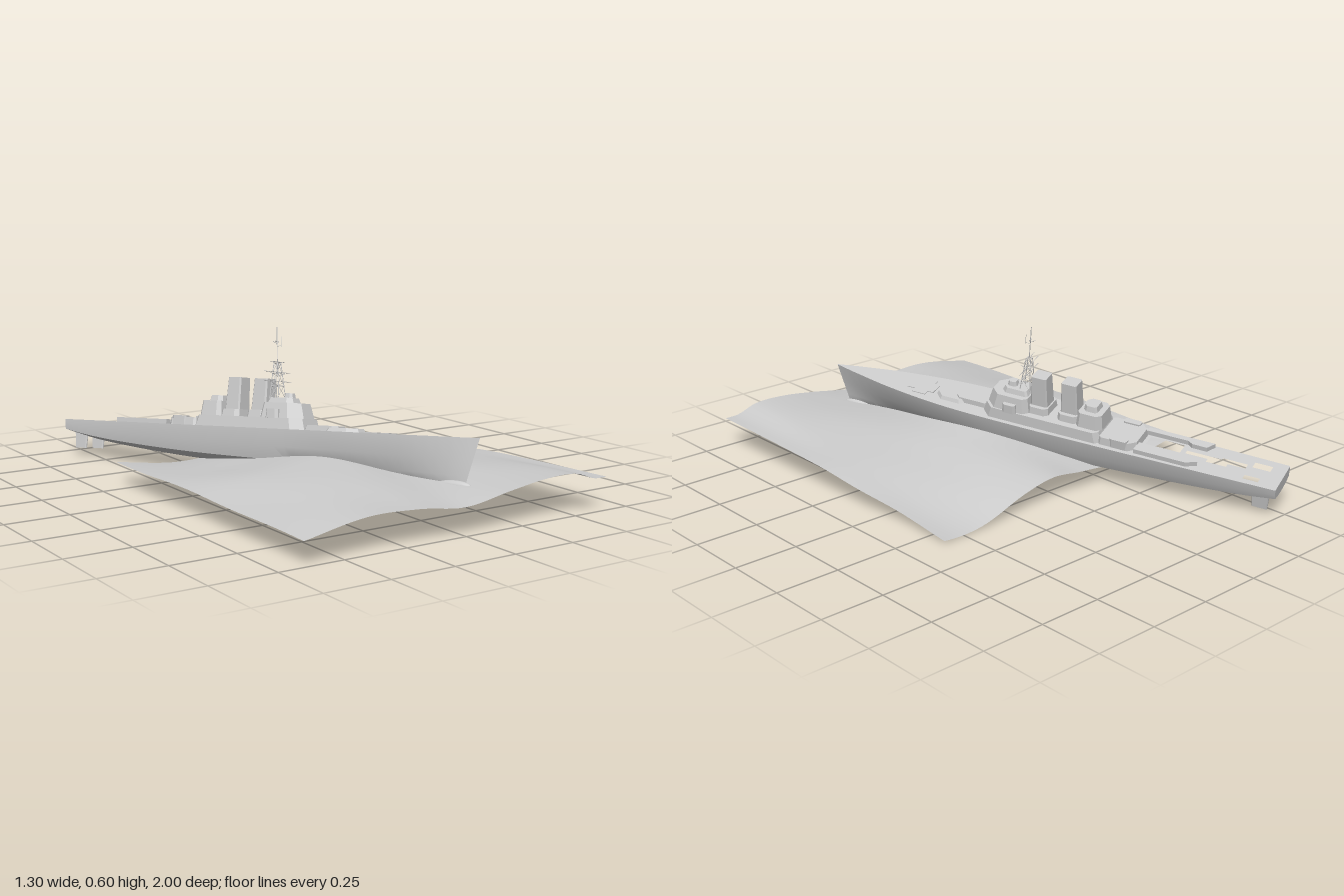
import * as THREE from 'three';
import { toCreasedNormals } from 'three/addons/utils/BufferGeometryUtils.js';

const grey = new THREE.MeshStandardMaterial({ color: 0xcccccc });
const greyDouble = new THREE.MeshStandardMaterial({ color: 0xcccccc, side: THREE.DoubleSide });

// Smooth curve through [t, value] pairs, read at t
function sample(points, t) {
  let i = 0;
  while (i < points.length - 2 && t > points[i + 1][0]) i++;
  const v = (k) => points[Math.min(Math.max(k, 0), points.length - 1)];
  const slope = (k) => (v(k + 1)[1] - v(k - 1)[1]) / (v(k + 1)[0] - v(k - 1)[0]);
  const h = v(i + 1)[0] - v(i)[0], s = Math.min(Math.max((t - v(i)[0]) / h, 0), 1);
  const s2 = s * s, s3 = s2 * s;
  return (2 * s3 - 3 * s2 + 1) * v(i)[1] + (s3 - 2 * s2 + s) * h * slope(i)
    + (3 * s2 - 2 * s3) * v(i + 1)[1] + (s3 - s2) * h * slope(i + 1);
}

// Surface through rows of points
function loft(rows) {
  const pos = [], idx = [], n = rows[0].length;
  rows.forEach((row) => row.forEach((p) => pos.push(...p)));
  for (let r = 0; r < rows.length - 1; r++) {
    for (let c = 0; c < n - 1; c++) {
      const a = r * n + c, b = a + 1, d = a + n, e = d + 1;
      idx.push(a, d, b, b, d, e);
    }
  }
  const g = new THREE.BufferGeometry();
  g.setAttribute('position', new THREE.Float32BufferAttribute(pos, 3));
  g.setIndex(idx);
  g.computeVertexNormals();
  return g;
}

function add(parent, name, geometry, material = grey) {
  const mesh = new THREE.Mesh(geometry, material);
  mesh.name = name;
  parent.add(mesh);
  return mesh;
}

// Outline with cut corners, as [x, z]; cf and ca cut the front and aft corners
function outline(z0, z1, w, cf = 0.015, ca = 0.008, x = 0) {
  return [[x - w, z0 + ca], [x - w + ca, z0], [x + w - ca, z0], [x + w, z0 + ca],
    [x + w, z1 - cf], [x + w - cf, z1], [x - w + cf, z1], [x - w, z1 - cf]];
}
const toShape = (pts) => new THREE.Shape(pts.map(([x, z]) => new THREE.Vector2(x, -z)));

// Upright prism on an outline, its top drawn in by taper and slid by shift
function prism(parent, name, pts, y0, y1, taper = 1, shift = 0) {
  const g = new THREE.ExtrudeGeometry(toShape(pts), { depth: y1 - y0, bevelEnabled: false });
  g.rotateX(-Math.PI / 2).translate(0, y0, 0).computeBoundingBox();
  const c = g.boundingBox.getCenter(new THREE.Vector3()), p = g.attributes.position;
  for (let i = 0; i < p.count; i++) {
    if (p.getY(i) > c.y) {
      p.setX(i, c.x + (p.getX(i) - c.x) * taper);
      p.setZ(i, c.z + (p.getZ(i) - c.z) * taper + shift);
    }
  }
  g.computeVertexNormals();
  return add(parent, name, g);
}

// Thin rod between two points
function rod(parent, name, a, b, r) {
  const A = new THREE.Vector3(...a), B = new THREE.Vector3(...b);
  const m = add(parent, name, new THREE.CylinderGeometry(r, r, A.distanceTo(B), 6));
  m.position.copy(A).add(B).multiplyScalar(0.5);
  m.quaternion.setFromUnitVectors(new THREE.Vector3(0, 1, 0), B.sub(A).normalize());
}

// Hull curves along the length: half beam, depth, half width of the bottom
const beam = [[-1.095, 0.089], [-0.75, 0.097], [-0.4, 0.104], [0, 0.108], [0.3, 0.1], [0.55, 0.069], [0.75, 0.027], [0.855, 0.001]];
const depth = [[-1.095, 0.052], [-0.95, 0.08], [-0.75, 0.105], [-0.4, 0.132], [0, 0.147], [0.55, 0.162], [0.855, 0.168]];
const floor = [[-1.095, 0.083], [-0.75, 0.08], [0, 0.08], [0.3, 0.058], [0.55, 0.028], [0.75, 0.009], [0.855, 0.001]];
const stations = Array.from({ length: 41 }, (_, i) => -1.095 + 1.95 * i / 40);

function buildHull(ship) {
  const rows = stations.map((z) => {
    const w = sample(beam, z), d = sample(depth, z), f = sample(floor, z);
    const rake = 0.05 * Math.max(0, (z - 0.4) / 0.455);
    const half = [[w, 0], [w * 0.7 + f * 0.3, -0.45 * d], [f, -0.8 * d], [f * 0.55, -0.95 * d]];
    return [...half, [0, -d], ...half.map(([x, y]) => [-x, y]).reverse()]
      .map(([x, y]) => [x, y, z + rake * y / d]);
  });
  add(ship, 'hull', toCreasedNormals(loft(rows), 0.6));

  const end = new THREE.Shape(rows[0].map(([x, y]) => new THREE.Vector2(x, y)));
  const transom = add(ship, 'transom', new THREE.ShapeGeometry(end).rotateY(Math.PI));
  transom.position.z = stations[0];

  // Main deck with open wells aft
  const side = stations.map((z) => [sample(beam, z), z]);
  const deck = toShape([...side, ...side.map(([x, z]) => [-x, z]).reverse()]);
  const wells = [
    [[-0.055, -1.04], [-0.02, -1.04], [-0.02, -0.97], [-0.055, -0.97]],
    [[0.04, -1.02], [0.065, -1.02], [0.065, -0.96], [0.04, -0.96]],
    [[-0.03, -0.95], [0.0, -0.95], [0.0, -0.88], [0.02, -0.88], [0.02, -0.8], [0.0, -0.8], [0.0, -0.71], [-0.02, -0.71], [-0.02, -0.85], [-0.03, -0.85]],
    [[-0.05, -0.69], [0.005, -0.69], [0.005, -0.65], [0.02, -0.65], [0.02, -0.55], [-0.05, -0.55]],
  ];
  wells.forEach((pts) => deck.holes.push(new THREE.Path(pts.map(([x, z]) => new THREE.Vector2(x, -z)))));
  add(ship, 'deck', new THREE.ShapeGeometry(deck).rotateX(-Math.PI / 2));

  // Bow dome under the stem
  const dome = add(ship, 'bowDome', new THREE.SphereGeometry(1, 20, 12));
  dome.scale.set(0.019, 0.02, 0.075);
  dome.position.set(0, -0.172, 0.755);

  for (const s of [-1, 1]) {
    prism(ship, 'rudder', outline(-0.06, 0, 0.006, 0.004, 0.003, 0), -0.118, -0.045, 1.2).position.set(s * 0.05, 0, -1);
  }
}

function buildSuperstructure(ship) {
  // Foredeck fittings
  prism(ship, 'foredeckPlate', [[-0.055, 0.4], [-0.03, 0.4], [-0.03, 0.375], [0.03, 0.375], [0.03, 0.4], [0.055, 0.4],
    [0.055, 0.46], [0.03, 0.46], [0.03, 0.495], [-0.03, 0.495], [-0.03, 0.46], [-0.055, 0.46]], 0, 0.003);
  prism(ship, 'foreHouse', outline(0.22, 0.36, 0.058, 0.035, 0.02), 0, 0.014, 0.88);
  prism(ship, 'foreHouseTop', outline(0.12, 0.27, 0.042, 0.02, 0.01), 0, 0.02, 0.95);

  // Long lower house and the bridge
  prism(ship, 'lowerHouse', outline(-0.39, 0.13, 0.09, 0.04, 0.02), 0, 0.042, 0.95);
  prism(ship, 'bridge', outline(-0.075, 0.115, 0.08, 0.045, 0.02), 0.04, 0.1, 0.85, -0.005);
  prism(ship, 'bridgeTop', outline(-0.06, 0.055, 0.044, 0.02), 0.1, 0.12, 0.85);
  prism(ship, 'director', outline(0, 0.04, 0.02, 0.01), 0.12, 0.138, 0.8);
  for (const s of [-1, 1]) {
    prism(ship, 'bridgeWing', outline(-0.03, 0.03, 0.016, 0.01, 0.01, s * 0.078), 0.04, 0.075, 0.9);
    prism(ship, 'sideLocker', outline(-0.5, -0.43, 0.015, 0.006, 0.006, s * 0.07), 0, 0.036);
  }

  // Two tall slab funnels on their casings
  for (const [z, y] of [[-0.107, 0.192], [-0.236, 0.195]]) {
    prism(ship, 'funnelCasing', outline(z - 0.045, z + 0.045, 0.058, 0.015, 0.015), 0.04, 0.07, 0.92);
    prism(ship, 'funnel', outline(z - 0.036, z + 0.036, 0.036, 0.006, 0.006), 0.065, y, 0.88, 0.003);
  }

  // Aft house, steps and raised plating around the wells
  prism(ship, 'aftHouse', outline(-0.385, -0.275, 0.066, 0.015, 0.02), 0.04, 0.1, 0.88);
  prism(ship, 'aftHouseTop', outline(-0.355, -0.295, 0.035), 0.1, 0.122, 0.85);
  prism(ship, 'aftStep', outline(-0.535, -0.38, 0.084, 0.01, 0.03), 0, 0.03, 0.95);
  prism(ship, 'portPlating', [[0.03, -0.53], [0.085, -0.53], [0.085, -0.74], [0.06, -0.78], [0.03, -0.72]], 0, 0.018);
  prism(ship, 'starboardPlating', [[-0.06, -0.53], [-0.085, -0.53], [-0.085, -0.8], [-0.045, -0.78], [-0.045, -0.72], [-0.06, -0.7]].reverse(), 0, 0.018);
}

function buildMast(ship) {
  const mast = new THREE.Group();
  mast.name = 'mast';
  mast.position.set(0, 0.115, -0.04);
  mast.rotation.x = -0.07;
  ship.add(mast);

  // Lattice of four legs with rings and diagonals
  const corners = [[-1, -1], [1, -1], [1, 1], [-1, 1]];
  const at = (c, y) => { const r = 0.022 - 0.09 * y; return [corners[c % 4][0] * r, y, corners[c % 4][1] * r]; };
  const levels = [0, 0.05, 0.1, 0.14];
  for (let c = 0; c < 4; c++) {
    rod(mast, 'mastLeg', at(c, 0), at(c, 0.14), 0.0018);
    for (let k = 1; k < levels.length; k++) {
      rod(mast, 'mastRing', at(c, levels[k]), at(c + 1, levels[k]), 0.0012);
      rod(mast, 'mastBrace', at(c, levels[k - 1]), at(c + 1, levels[k]), 0.0009);
    }
  }
  rod(mast, 'topmast', [0, 0.13, 0], [0, 0.28, 0], 0.0018);
  for (const [y, w] of [[0.065, 0.09], [0.1, 0.085], [0.14, 0.045], [0.22, 0.012]]) {
    rod(mast, 'yard', [-w, y + 0.004, 0], [w, y + 0.004, 0], 0.0012);
    for (const s of [-1, 1]) rod(mast, 'yardStay', [s * w * 0.6, y + 0.004, 0], [0, y - 0.012, 0], 0.0008);
  }
  rod(mast, 'foreSpur', [0, 0.09, 0], [0, 0.095, 0.035], 0.0012);
  rod(mast, 'aftSpur', [0, 0.215, 0], [0, 0.225, -0.02], 0.0012);
  rod(mast, 'foreAerial', [0, 0.2, 0.02], [0, 0.24, 0.02], 0.001);
  rod(mast, 'foreAerialArm', [0, 0.205, 0], [0, 0.205, 0.02], 0.001);
}

// Square of rolling sea, blended between height curves from back to front
function buildSea() {
  const curves = [
    [-0.33, [[-0.65, 0.09], [-0.38, 0.058], [-0.1, 0.082], [0.05, 0.1], [0.2, 0.073], [0.38, 0.016], [0.5, 0.003], [0.65, 0.014]]],
    [0, [[-0.65, 0.092], [-0.4, 0.1], [-0.1, 0.13], [0.1, 0.125], [0.3, 0.085], [0.5, 0.06], [0.65, 0.06]]],
    [0.35, [[-0.65, 0.095], [-0.4, 0.14], [-0.1, 0.165], [0.1, 0.138], [0.3, 0.125], [0.5, 0.115], [0.65, 0.105]]],
    [1, [[-0.65, 0.085], [-0.4, 0.13], [-0.2, 0.125], [0, 0.102], [0.2, 0.135], [0.35, 0.155], [0.5, 0.155], [0.59, 0.126], [0.65, 0.125]]],
  ];
  const rightEdge = [[-0.33, 0.59], [-0.1, 0.6], [0.15, 0.636], [0.4, 0.645], [1, 0.652]];
  const rows = [];
  for (let j = 0; j <= 48; j++) {
    const z = -0.33 + 1.325 * j / 48, row = [];
    for (let i = 0; i <= 48; i++) {
      const x = -0.652 + (sample(rightEdge, z) + 0.652) * i / 48;
      const y = sample(curves.map(([cz, curve]) => [cz, sample(curve, x)]), z);
      row.push([x, Math.max(0, y + 0.003 * Math.sin(11 * x + 2) * Math.sin(9 * z)), z]);
    }
    rows.push(row);
  }
  return loft(rows);
}

export function createModel() {
  const model = new THREE.Group();
  add(model, 'sea', buildSea(), greyDouble);

  // The ship pitches bow up and heels to port
  const ship = new THREE.Group();
  ship.name = 'ship';
  ship.position.set(-0.12, 0.225, 0.046);
  ship.rotation.set(-0.08, 0.365, -0.19, 'YXZ');
  buildHull(ship);
  buildSuperstructure(ship);
  buildMast(ship);
  model.add(ship);
  return model;
}
